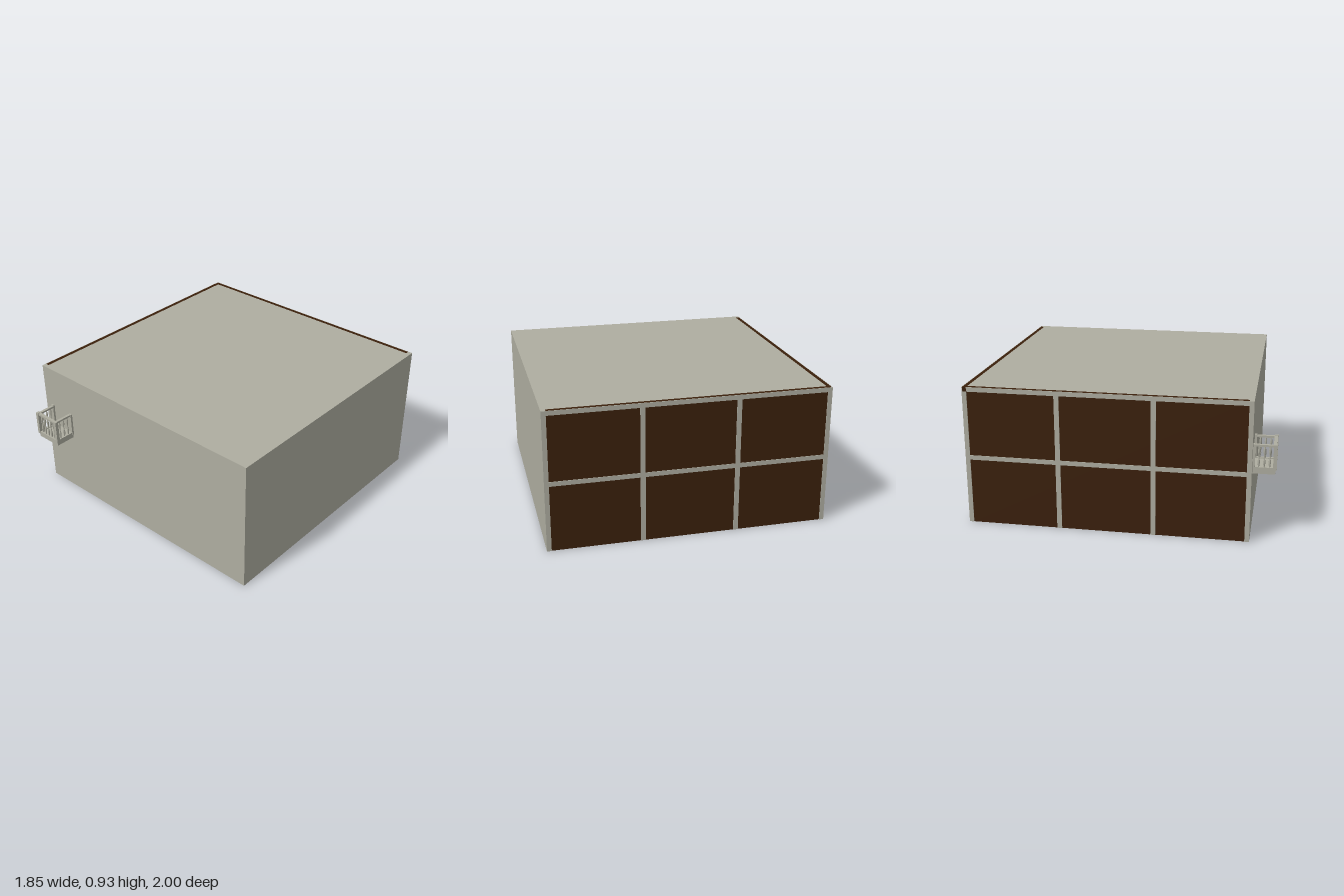
import * as THREE from 'three';

const H = 0.93;      // building height
const HALF = 0.925;  // half of the square plan
const T = 0.03;      // wall thickness
const MID_Z = -0.075;

export function createModel() {
  const stone = new THREE.MeshStandardMaterial({ color: 0xaeada0 });
  stone.name = 'warm grey stone';
  const brown = new THREE.MeshStandardMaterial({ color: 0x3b200c });
  brown.name = 'dark brown panel';

  const model = new THREE.Group();
  model.name = 'building';

  // Box given by its min and max corners
  function box(parent, name, material, x0, x1, y0, y1, z0, z1) {
    const mesh = new THREE.Mesh(new THREE.BoxGeometry(x1 - x0, y1 - y0, z1 - z0), material);
    mesh.position.set((x0 + x1) / 2, (y0 + y1) / 2, (z0 + z1) / 2);
    mesh.name = name;
    parent.add(mesh);
    return mesh;
  }

  // Open-bottomed shell: two solid walls and the roof
  const shell = new THREE.Group();
  shell.name = 'shell';
  shell.position.z = MID_Z;
  model.add(shell);
  const inner = HALF - T;
  box(shell, 'leftWall', stone, inner, HALF, 0, H, -HALF, HALF);
  box(shell, 'frontWall', stone, -HALF, inner, 0, H, inner, HALF);
  box(shell, 'roof', stone, -inner, inner, H - T, H, -inner, inner);

  // Panelled wall facing -z, with a thin grid of bars on its outside
  function panelledWall(name, xStart) {
    const wall = new THREE.Group();
    wall.name = name;
    const face = -HALF + 0.004;
    box(wall, 'panel', brown, xStart, inner, 0, H, face, -inner);
    const bar = (x0, x1, y0, y1) => box(wall, 'bar', stone, x0, x1, y0, y1, -HALF, face);
    for (const x of [-HALF / 3, HALF / 3]) bar(x - 0.016, x + 0.016, 0, H - T);
    bar(-HALF, inner, H - T, H);
    bar(-inner, inner, 0.44, 0.47);
    return wall;
  }
  const backWall = panelledWall('backWall', -HALF + 0.004);
  const rightWall = panelledWall('rightWall', -inner);
  rightWall.rotation.y = Math.PI / 2;
  shell.add(backWall, rightWall);
  // Corner post, one thin plate on each face
  box(shell, 'cornerPost', stone, -HALF, -inner, 0, H - T, -HALF, -HALF + 0.004);
  box(shell, 'cornerPost', stone, -HALF, -HALF + 0.004, 0, H - T, -HALF + 0.004, -inner);

  // Small balcony on the front wall
  const balcony = new THREE.Group();
  balcony.name = 'balcony';
  balcony.position.set(-0.76, 0, 0.85);
  model.add(balcony);
  box(balcony, 'floor', stone, -0.095, 0.095, 0.44, 0.466, 0, 0.142);
  box(balcony, 'floorLip', stone, -0.098, 0.098, 0.466, 0.478, 0, 0.146);

  // Lower and upper rails run round three sides
  for (const [y0, y1] of [[0.47, 0.484], [0.62, 0.633]]) {
    box(balcony, 'frontRail', stone, -0.099, 0.099, y0, y1, 0.125, 0.147);
    for (const s of [-1, 1])
      box(balcony, 'sideRail', stone, s * 0.0885 - 0.0095, s * 0.0885 + 0.0095, y0, y1, 0, 0.13);
  }
  for (const s of [-1, 1]) {
    box(balcony, 'frontPost', stone, s * 0.094 - 0.011, s * 0.094 + 0.011, 0.468, 0.636, 0.127, 0.15);
    box(balcony, 'wallPost', stone, s * 0.094 - 0.011, s * 0.094 + 0.011, 0.468, 0.636, 0, 0.014);
  }

  // Turned balusters with two bulges
  const profile = [[0.003, 0.475], [0.005, 0.495], [0.008, 0.515], [0.005, 0.535], [0.003, 0.552],
    [0.005, 0.57], [0.008, 0.589], [0.005, 0.608], [0.003, 0.626]]
    .map(([r, y]) => new THREE.Vector2(r, y));
  const balusterShape = new THREE.LatheGeometry(profile, 10);
  function baluster(x, z) {
    const mesh = new THREE.Mesh(balusterShape, stone);
    mesh.name = 'baluster';
    mesh.position.set(x, 0, z);
    balcony.add(mesh);
  }
  for (let i = -2; i <= 2; i++) baluster(i * 0.031, 0.136);
  for (const s of [-1, 1])
    for (let i = 0; i < 3; i++) baluster(s * 0.0885, 0.037 + i * 0.034);

  return model;
}
